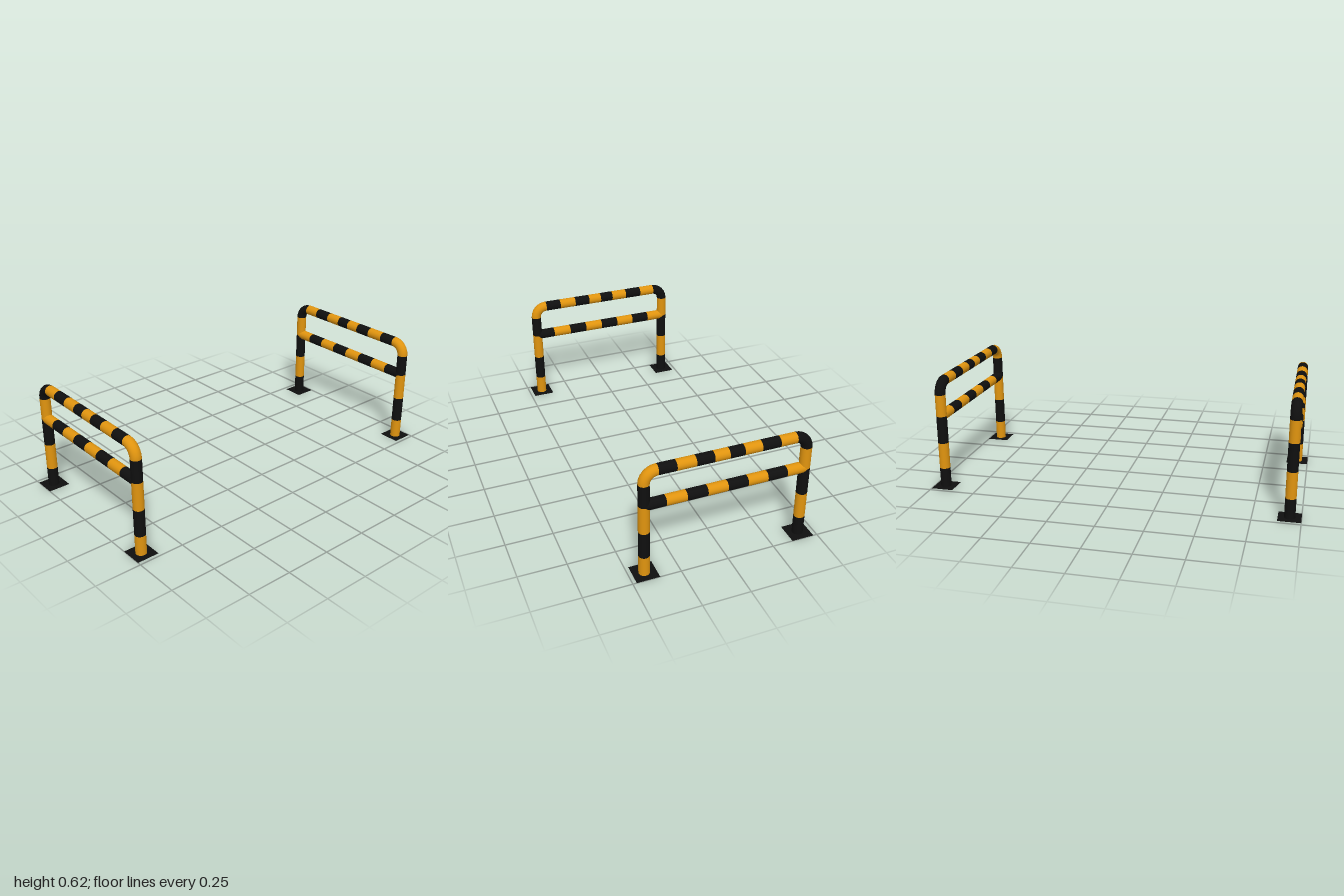
import * as THREE from 'three';

const R = 0.0285;      // pipe radius
const LEG_X = 0.42;    // leg centre line
const TOP_Y = 0.59;    // top rail centre line
const BEND = 0.065;    // bend radius of the hoop
const BAR_Y = 0.405;   // middle bar height

const black = new THREE.MeshStandardMaterial({ color: 0x0f0f0f, side: THREE.DoubleSide });
const orange = new THREE.MeshStandardMaterial({ color: 0xe0940f, side: THREE.DoubleSide });
const paint = (i) => (i % 2 ? orange : black);

// One painted length of straight pipe between two points
function pipe(name, x0, y0, x1, y1, material) {
  const a = new THREE.Vector3(x0, y0, 0);
  const dir = new THREE.Vector3(x1, y1, 0).sub(a);
  const mesh = new THREE.Mesh(new THREE.CylinderGeometry(R, R, dir.length(), 24, 1, true), material);
  mesh.position.copy(a).addScaledVector(dir, 0.5);
  mesh.quaternion.setFromUnitVectors(new THREE.Vector3(0, 1, 0), dir.normalize());
  mesh.name = name;
  return mesh;
}

function createBarrier() {
  const barrier = new THREE.Group();
  const legMarks = [0, 0.108, 0.253, 0.405, TOP_Y - BEND];
  const topMarks = [-0.355, -0.265, -0.168, -0.077, 0, 0.077, 0.168, 0.265, 0.355];

  [-1, 1].forEach((side) => {
    const shift = side > 0 ? 1 : 0; // the two legs carry opposite colours
    const sideName = side > 0 ? 'left' : 'right';

    // Striped leg
    for (let i = 0; i < legMarks.length - 1; i++) {
      barrier.add(pipe(sideName + 'LegStripe', side * LEG_X, legMarks[i], side * LEG_X, legMarks[i + 1], paint(i + shift)));
    }

    // Rounded corner
    const bend = new THREE.Mesh(new THREE.TorusGeometry(BEND, R, 24, 6, Math.PI / 2), paint(shift));
    bend.position.set(side * (LEG_X - BEND), TOP_Y - BEND, 0);
    if (side < 0) bend.rotation.y = Math.PI;
    bend.name = sideName + 'Bend';
    barrier.add(bend);

    // Flat floor plate
    const plate = new THREE.Mesh(new THREE.PlaneGeometry(0.12, 0.12), black);
    plate.rotation.x = -Math.PI / 2;
    plate.position.x = side * LEG_X;
    plate.name = sideName + 'FloorPlate';
    barrier.add(plate);
  });

  // Striped top rail and middle bar, eight lengths each
  for (let i = 0; i < 8; i++) {
    barrier.add(pipe('topRailStripe', topMarks[i], TOP_Y, topMarks[i + 1], TOP_Y, paint(i + 1)));
    const x = -LEG_X + i * LEG_X / 4;
    barrier.add(pipe('middleBarStripe', x, BAR_Y, x + LEG_X / 4, BAR_Y, paint(i + 1)));
  }
  return barrier;
}

export function createModel() {
  const model = new THREE.Group();
  model.name = 'barrierPair';
  [['frontBarrier', 0.94], ['backBarrier', -0.94]].forEach(([name, z]) => {
    const barrier = createBarrier();
    barrier.name = name;
    barrier.position.z = z;
    model.add(barrier);
  });
  return model;
}
